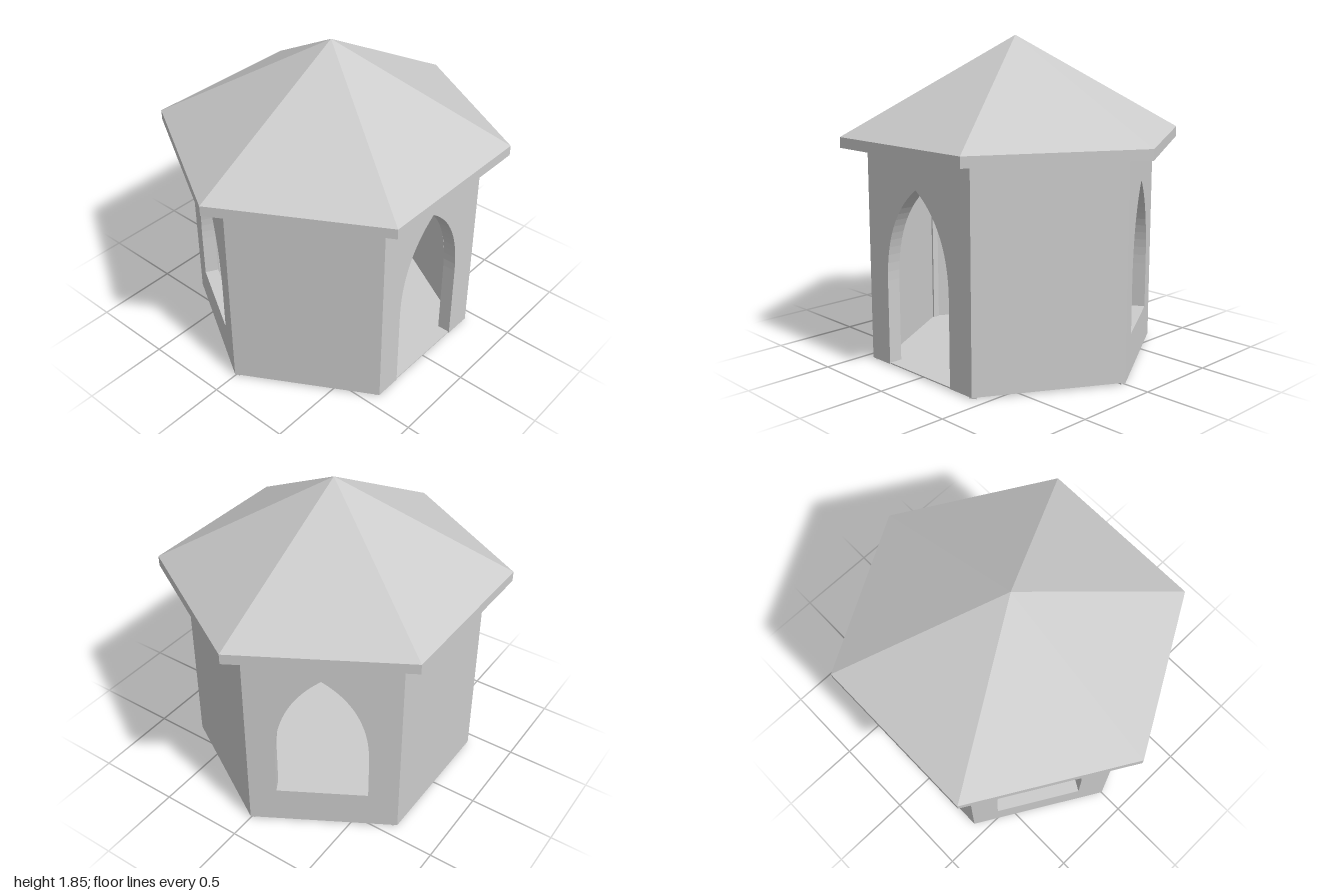
import * as THREE from 'three';

const SIDES = 6;
const R = 0.85;                                  // wall corner radius
const APOTHEM = R * Math.cos(Math.PI / SIDES);
const HALF = R / 2;                              // half the width of one wall
const THICK = 0.08;
const BASE = 0.01, WALL_TOP = 1.32;
const ARCH = { cx: -0.007, half: 0.26, spring: 0.5, ctrl: 0.87, peak: 1.05 };
const SILL = 0.235;

const material = new THREE.MeshStandardMaterial({ color: 0xcccccc, flatShading: true });

function part(name, geometry, parent) {
  const mesh = new THREE.Mesh(geometry, material);
  mesh.name = name;
  parent.add(mesh);
  return mesh;
}

// Pointed arch, drawn from its lower left corner to its lower right corner
function traceArch(path) {
  const { cx, half, spring, ctrl, peak } = ARCH;
  path.lineTo(cx - half, spring);
  path.quadraticCurveTo(cx - half, ctrl, cx, peak);
  path.quadraticCurveTo(cx + half, ctrl, cx + half, spring);
}

// One wall panel facing +z, with mitred ends and an optional opening
function wallGeometry(opening) {
  const left = ARCH.cx - ARCH.half, right = ARCH.cx + ARCH.half;
  const shape = new THREE.Shape();
  shape.moveTo(-HALF, BASE);
  if (opening === 'door') {
    shape.lineTo(left, BASE);
    traceArch(shape);
    shape.lineTo(right, BASE);
  }
  shape.lineTo(HALF, BASE);
  shape.lineTo(HALF, WALL_TOP);
  shape.lineTo(-HALF, WALL_TOP);
  shape.closePath();
  if (opening === 'window') {
    const hole = new THREE.Path();
    hole.moveTo(left, SILL);
    traceArch(hole);
    hole.lineTo(right, SILL);
    hole.closePath();
    shape.holes.push(hole);
  }
  const geo = new THREE.ExtrudeGeometry(shape, { depth: THICK, bevelEnabled: false, curveSegments: 14 });
  // Mitre: pull the inner ends in so neighbouring panels meet at the corner
  const pos = geo.attributes.position;
  const mitre = THICK * Math.tan(Math.PI / SIDES);
  for (let i = 0; i < pos.count; i++) {
    const x = pos.getX(i);
    if (pos.getZ(i) < THICK / 2 && Math.abs(x) > HALF - 0.01) pos.setX(i, x - Math.sign(x) * mitre);
  }
  geo.translate(0, 0, APOTHEM - THICK);
  geo.computeVertexNormals();
  return geo;
}

export function createModel() {
  const model = new THREE.Group();
  model.name = 'pavilion';

  // Floor slab
  const floor = new THREE.CylinderGeometry(R - 0.005, R - 0.005, 0.007, SIDES, 1, false, Math.PI / 2);
  floor.translate(0, BASE + 0.0035, 0);
  part('floor', floor, model);

  // Hollow roof with a vertical eave edge
  const roofProfile = [[0, 1.79], [1, 1.24], [1, 1.3], [0, 1.85]].map(([r, y]) => new THREE.Vector2(r, y));
  part('roof', new THREE.LatheGeometry(roofProfile, SIDES, Math.PI / 2), model);

  // Walls: door at the front, windows on the two rear diagonals
  const openings = { 0: 'door', 2: 'window', 4: 'window' };
  const walls = new THREE.Group();
  walls.name = 'walls';
  const frame = new THREE.Group();
  frame.name = 'frame';
  model.add(walls, frame);

  const rafterStart = new THREE.Vector2(0.8, 1.325);
  const rafterEnd = new THREE.Vector2(0, 1.765);
  const rafterLength = rafterStart.distanceTo(rafterEnd);
  const rafterSlope = Math.atan2(rafterEnd.y - rafterStart.y, rafterStart.x);

  for (let i = 0; i < SIDES; i++) {
    const angle = i * Math.PI * 2 / SIDES;
    const opening = openings[i];
    part(opening ? opening + 'Wall' : 'wall', wallGeometry(opening), walls).rotation.y = angle;

    // Ring beam along the top of the wall's inner face
    const beam = new THREE.BoxGeometry(0.74, 0.07, 0.05);
    beam.translate(0, 1.285, 0.637);
    part('ringBeam', beam, frame).rotation.y = angle;

    // Corner post, showing slightly below the floor
    const post = new THREE.BoxGeometry(0.1, WALL_TOP, 0.04);
    post.translate(0.785, WALL_TOP / 2, 0);
    part('post', post, frame).rotation.y = angle;

    // Rafter from corner to peak
    const rafter = new THREE.BoxGeometry(rafterLength, 0.05, 0.04);
    rafter.rotateZ(-rafterSlope);
    rafter.translate(rafterStart.x / 2, (rafterStart.y + rafterEnd.y) / 2, 0);
    part('rafter', rafter, frame).rotation.y = angle;
  }
  return model;
}
